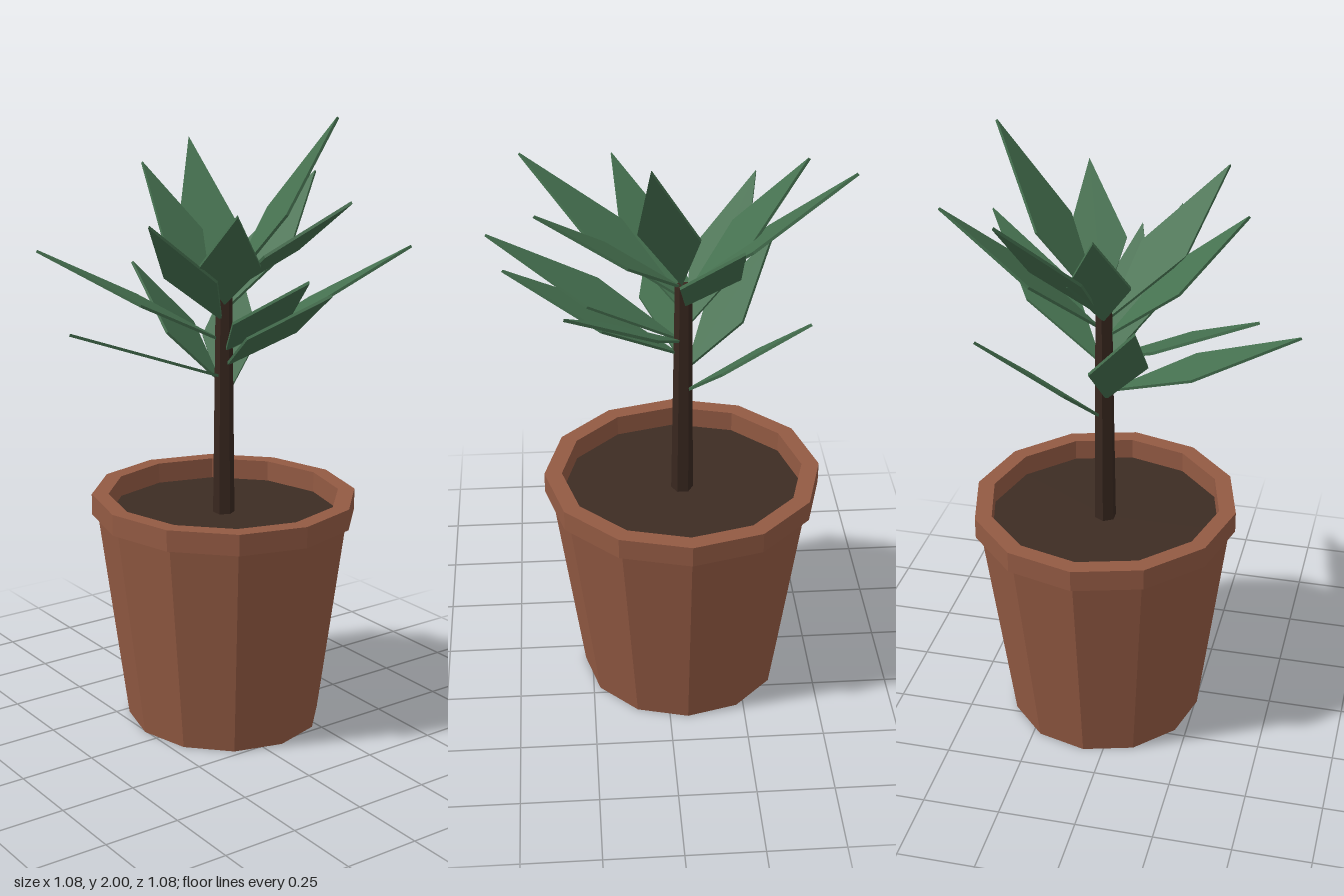
import * as THREE from 'three';

const CX = 0.065, CZ = -0.06; // pot axis

function mat(name, color) {
  const m = new THREE.MeshStandardMaterial({ color });
  m.name = name;
  return m;
}

// faceted normals
function facet(geo) {
  const g = geo.index ? geo.toNonIndexed() : geo;
  g.computeVertexNormals();
  return g;
}

export function createModel() {
  const terracotta = mat('terracotta', 0x935a43);
  const soilBrown = mat('soil brown', 0x3d2c23);
  const bark = mat('bark', 0x38271f);
  const leafGreen = mat('leaf green', 0x45704f);

  const root = new THREE.Group();
  root.name = 'pottedPlant';
  const add = (name, geo, material, parent = root) => {
    const mesh = new THREE.Mesh(facet(geo), material);
    mesh.name = name;
    parent.add(mesh);
    return mesh;
  };

  // twelve-sided tapered pot with a square rim
  const profile = [[0, 0], [0.333, 0], [0.43, 0.715], [0.45, 0.715], [0.45, 0.785], [0.393, 0.785], [0.393, 0.7]]
    .map(([r, y]) => new THREE.Vector2(r, y));
  const pot = add('pot', new THREE.LatheGeometry(profile, 12), terracotta);
  const soil = add('soil', new THREE.CylinderGeometry(0.393, 0.393, 0.02, 12).translate(0, 0.705, 0), soilBrown);
  for (const m of [pot, soil]) {
    m.position.set(CX, 0, CZ);
    m.scale.x = 0.963;
  }

  // stem
  add('stem', new THREE.CylinderGeometry(0.027, 0.036, 0.76, 6).translate(CX, 1.08, CZ), bark);

  // leaves: tip x, y, z, then height of the base on the stem
  const leaves = [
    [0.255, 1.90, -0.54, 1.45],
    [0.37, 1.48, -0.41, 1.09],
    [0.535, 1.80, -0.19, 1.40],
    [0.425, 2.00, 0.06, 1.47],
    [0.53, 1.61, 0.31, 1.27],
    [0.22, 1.78, 0.385, 1.46],
    [0.065, 1.53, 0.49, 1.22],
    [-0.06, 1.59, 0.54, 1.27],
    [-0.235, 1.78, 0.43, 1.42],
    [-0.348, 1.725, 0.14, 1.37],
    [-0.543, 1.40, 0, 1.18],
    [-0.46, 1.60, -0.34, 1.30],
    [-0.1, 1.53, -0.35, 1.16],
    [0, 1.84, -0.44, 1.43],
  ];
  const foliage = new THREE.Group();
  foliage.name = 'foliage';
  root.add(foliage);
  const up = new THREE.Vector3(0, 1, 0);
  for (const [x, y, z, baseY] of leaves) {
    const tip = new THREE.Vector3(x, y, z);
    const base = new THREE.Vector3(x - CX, 0, z - CZ).setLength(0.015).add(new THREE.Vector3(CX, baseY, CZ));
    const dir = tip.clone().sub(base);
    const len = dir.length();
    dir.normalize();
    const side = dir.clone().cross(up).normalize();
    const normal = side.clone().cross(dir);
    // pointed diamond blade
    const blade = new THREE.Shape([
      new THREE.Vector2(0, 0),
      new THREE.Vector2(0.095, len * 0.45),
      new THREE.Vector2(0, len),
      new THREE.Vector2(-0.095, len * 0.45),
    ]);
    const geo = new THREE.ExtrudeGeometry(blade, { depth: 0.009, bevelEnabled: false }).translate(0, 0, -0.0045);
    geo.applyMatrix4(new THREE.Matrix4().makeBasis(side, dir, normal).setPosition(base));
    add('leaf', geo, leafGreen, foliage);
  }
  return root;
}
